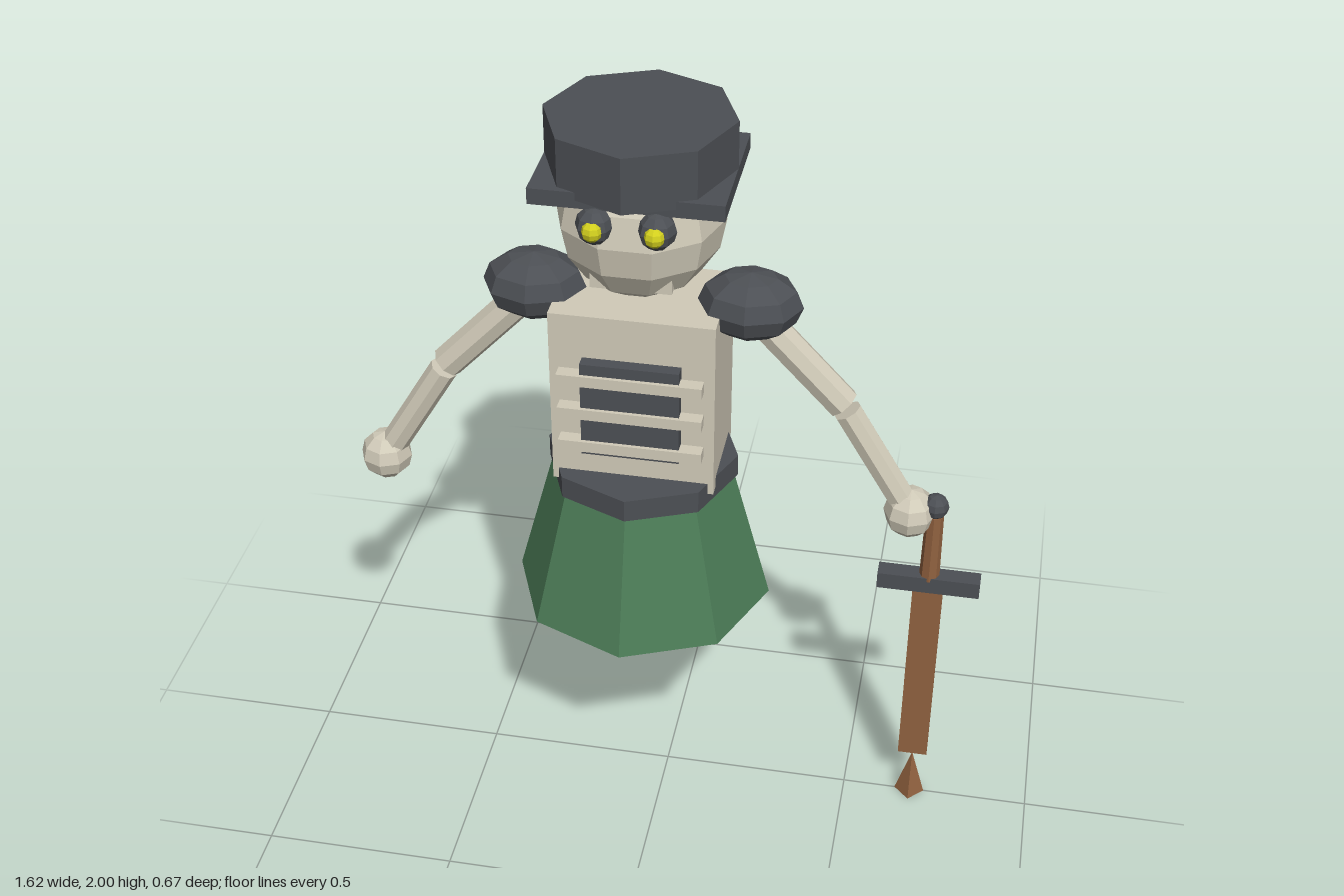
import * as THREE from 'three';

const makeMaterial = (name, color) => {
  const m = new THREE.MeshStandardMaterial({ color, flatShading: true });
  m.name = name;
  return m;
};

export function createModel() {
  const bone = makeMaterial('bone', 0xd0cab8);
  const dark = makeMaterial('charcoal', 0x4c4f54);
  const green = makeMaterial('skirt green', 0x4c7c57);
  const brown = makeMaterial('rusty brown', 0x90613f);
  const yellow = makeMaterial('eye yellow', 0xd2cf1e);

  const root = new THREE.Group();
  root.name = 'skeletonSwordsman';
  const body = new THREE.Group(); // body axis sits a little to one side of the sword
  body.name = 'body';
  body.position.x = -0.064;
  root.add(body);

  const add = (parent, name, geo, mat, x, y, z) => {
    const mesh = new THREE.Mesh(geo, mat);
    mesh.name = name;
    mesh.position.set(x, y, z);
    parent.add(mesh);
    return mesh;
  };
  const box = (w, h, d) => new THREE.BoxGeometry(w, h, d);
  const cyl = (top, bottom, h, n = 8) => new THREE.CylinderGeometry(top, bottom, h, n);
  const ball = (r, w = 8, h = 6) => new THREE.SphereGeometry(r, w, h);

  // Straight limb segment between two points in the xy plane
  const limb = (parent, name, a, b, rTop, rBottom) => {
    const dx = a[0] - b[0], dy = a[1] - b[1];
    const m = add(parent, name, cyl(rTop, rBottom, Math.hypot(dx, dy)), bone,
      (a[0] + b[0]) / 2, (a[1] + b[1]) / 2, 0);
    m.rotation.z = -Math.atan2(dx, dy);
  };

  // Skirt, belt and torso
  add(body, 'skirt', cyl(0.235, 0.333, 0.365), green, 0, 0.8325, 0);
  add(body, 'belt', cyl(0.243, 0.243, 0.06), dark, 0, 1.045, 0);
  add(body, 'torso', box(0.405, 0.48, 0.26), bone, 0, 1.285, 0.003);
  for (const s of [-1, 1]) {
    add(body, 'backPanel', box(0.2, 0.48, 0.009), bone, s * 0.1025, 1.285, -0.1315);
  }

  // Rib cage: dark opening crossed by three ribs
  add(body, 'chestOpening', box(0.242, 0.26, 0.04), dark, 0, 1.28, 0.145);
  for (let i = 0; i < 3; i++) {
    add(body, 'rib', box(0.355, 0.029, 0.035), bone, 0, 1.176 + i * 0.095, 0.157);
  }

  // Head and jaw
  add(body, 'head', ball(0.204, 10, 8), bone, 0, 1.748, 0);
  add(body, 'jaw', box(0.195, 0.045, 0.09), bone, 0, 1.63, 0.087);

  // Hat
  add(body, 'hatBrim', box(0.455, 0.04, 0.36), dark, 0, 1.86, 0);
  add(body, 'hatCrown', cyl(0.228, 0.228, 0.14), dark, 0, 1.93, 0);

  // Mirrored eyes, legs, shoulders and arms
  for (const s of [-1, 1]) {
    add(body, 'eyeSocket', ball(0.046), dark, s * 0.072, 1.8, 0.175);
    add(body, 'eye', ball(0.026), yellow, s * 0.072, 1.8, 0.205);
    add(body, 'leg', cyl(0.06, 0.06, 0.2), bone, s * 0.132, 0.63, 0);
    const shoulder = add(body, 'shoulderPad', ball(0.105), dark, s * 0.264, 1.525, 0);
    shoulder.scale.set(1.22, 0.81, 1);
    limb(body, 'upperArm', [s * 0.264, 1.515], [s * 0.499, 1.266], 0.042, 0.042);
    limb(body, 'forearm', [s * 0.51, 1.246], [s * 0.67, 0.98], 0.036, 0.036);
    add(body, 'hand', ball(0.067), bone, s * 0.682, 0.962, 0);
  }

  // Sword held point down
  const sword = new THREE.Group();
  sword.name = 'sword';
  sword.position.x = 0.681;
  root.add(sword);
  add(sword, 'pommel', ball(0.034), dark, 0, 0.986, 0);
  add(sword, 'grip', cyl(0.023, 0.026, 0.2), brown, 0, 0.86, 0);
  add(sword, 'guard', box(0.262, 0.046, 0.048), dark, 0, 0.747, 0);
  add(sword, 'blade', box(0.078, 0.58, 0.024), brown, 0, 0.437, 0);
  add(sword, 'bladeTip', new THREE.ConeGeometry(0.04, 0.14, 4), brown, 0, 0.07, 0);

  return root;
}
